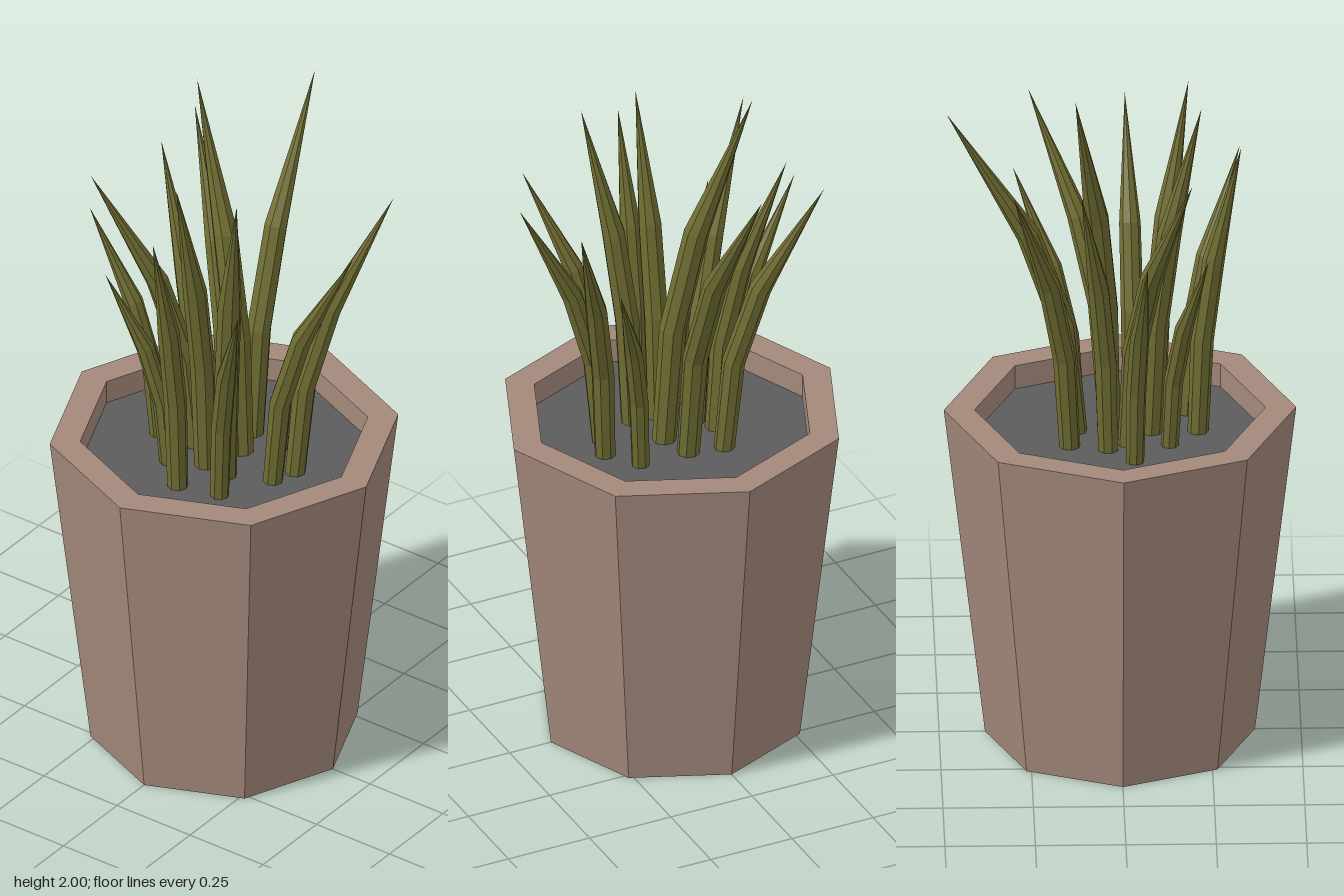
import * as THREE from 'three';

const material = (name, color) => {
  const m = new THREE.MeshStandardMaterial({ color });
  m.name = name;
  return m;
};

// Split shared corners so every face is shaded flat
function faceted(geometry) {
  const g = geometry.index ? geometry.toNonIndexed() : geometry;
  g.computeVertexNormals();
  return g;
}

const SOIL_Y = 0.91;
const SIDES = 8;

// Each blade: base x, base z, tip x, tip z, tip height
const BLADES = [
  [0.01, -0.12, -0.04, -0.48, 1.9],
  [-0.09, -0.14, -0.32, -0.30, 1.77],
  [0.04, -0.03, -0.185, -0.127, 2.0],
  [-0.115, -0.035, -0.297, -0.112, 1.76],
  [-0.08, 0.02, -0.315, 0.193, 1.8],
  [-0.195, 0.037, -0.41, 0.068, 1.59],
  [-0.09, 0.135, -0.23, 0.24, 1.53],
  [0, 0.085, 0.002, 0.225, 1.89],
  [0, 0.215, 0.002, 0.335, 1.77],
  [0.075, 0.095, 0.185, 0.193, 1.89],
  [0.12, 0.185, 0.295, 0.337, 1.64],
  [0.195, 0.04, 0.457, 0.023, 1.73],
  [0.22, -0.03, 0.4, -0.245, 1.77],
  [0.155, -0.12, 0.3, -0.29, 1.58],
];

// Rings along a blade: height fraction, outward bend fraction, radius factor
const RINGS = [
  [0, 0, 0.9],
  [0.34, 0.1, 1.0],
  [0.62, 0.37, 0.95],
  [1, 1, 0],
];

function bladeGeometry([bx, bz, tx, tz, top]) {
  const height = top - SOIL_Y + 0.02;
  const radius = 0.012 + 0.023 * height;
  const points = RINGS.map(([t, bend]) => new THREE.Vector3(
    bx + (tx - bx) * bend, SOIL_Y - 0.02 + height * t, bz + (tz - bz) * bend));
  const out = new THREE.Vector3(tx - bx, 0, tz - bz).normalize();
  const side = new THREE.Vector3(out.z, 0, -out.x);
  const positions = [], index = [];
  points.forEach((p, i) => {
    // Tilt each ring to follow the bend
    const along = points[Math.min(i + 1, 3)].clone().sub(points[Math.max(i - 1, 0)]).normalize();
    const u = new THREE.Vector3().crossVectors(side, along).negate();
    if (u.dot(out) < 0) u.negate();
    for (let k = 0; k < SIDES; k++) {
      const a = (k / SIDES) * Math.PI * 2, r = radius * RINGS[i][2];
      const v = p.clone().addScaledVector(side, Math.sin(a) * r).addScaledVector(u, Math.cos(a) * r);
      positions.push(v.x, v.y, v.z);
      if (i === 3) continue;
      const n = (k + 1) % SIDES, lo = i * SIDES, hi = lo + SIDES;
      index.push(lo + k, lo + n, hi + k);
      if (i < 2) index.push(lo + n, hi + n, hi + k);
    }
  });
  const g = new THREE.BufferGeometry();
  g.setAttribute('position', new THREE.Float32BufferAttribute(positions, 3));
  g.setIndex(index);
  return faceted(g);
}

export function createModel() {
  const model = new THREE.Group();
  model.name = 'pottedPlant';
  const clay = material('clay', 0xa4897b);
  const earth = material('soil', 0x5c5c5c);
  const leaf = material('leaf', 0x6f6d32);

  const add = (name, geometry, mat, parent = model) => {
    const mesh = new THREE.Mesh(geometry, mat);
    mesh.name = name;
    parent.add(mesh);
    return mesh;
  };

  // Octagonal tapered pot with a thick rim
  const profile = [[0, 0], [0.373, 0], [0.487, 0.98], [0.402, 0.98], [0.402, SOIL_Y - 0.02]]
    .map(([x, y]) => new THREE.Vector2(x, y));
  add('pot', faceted(new THREE.LatheGeometry(profile, 8)), clay);

  // Soil surface
  const soil = add('soil', new THREE.CircleGeometry(0.402, 8), earth);
  soil.rotation.x = -Math.PI / 2;
  soil.position.y = SOIL_Y;

  // Pointed blades leaning outward
  const blades = new THREE.Group();
  blades.name = 'blades';
  model.add(blades);
  BLADES.forEach((b, i) => add('blade' + (i + 1), bladeGeometry(b), leaf, blades));

  return model;
}
